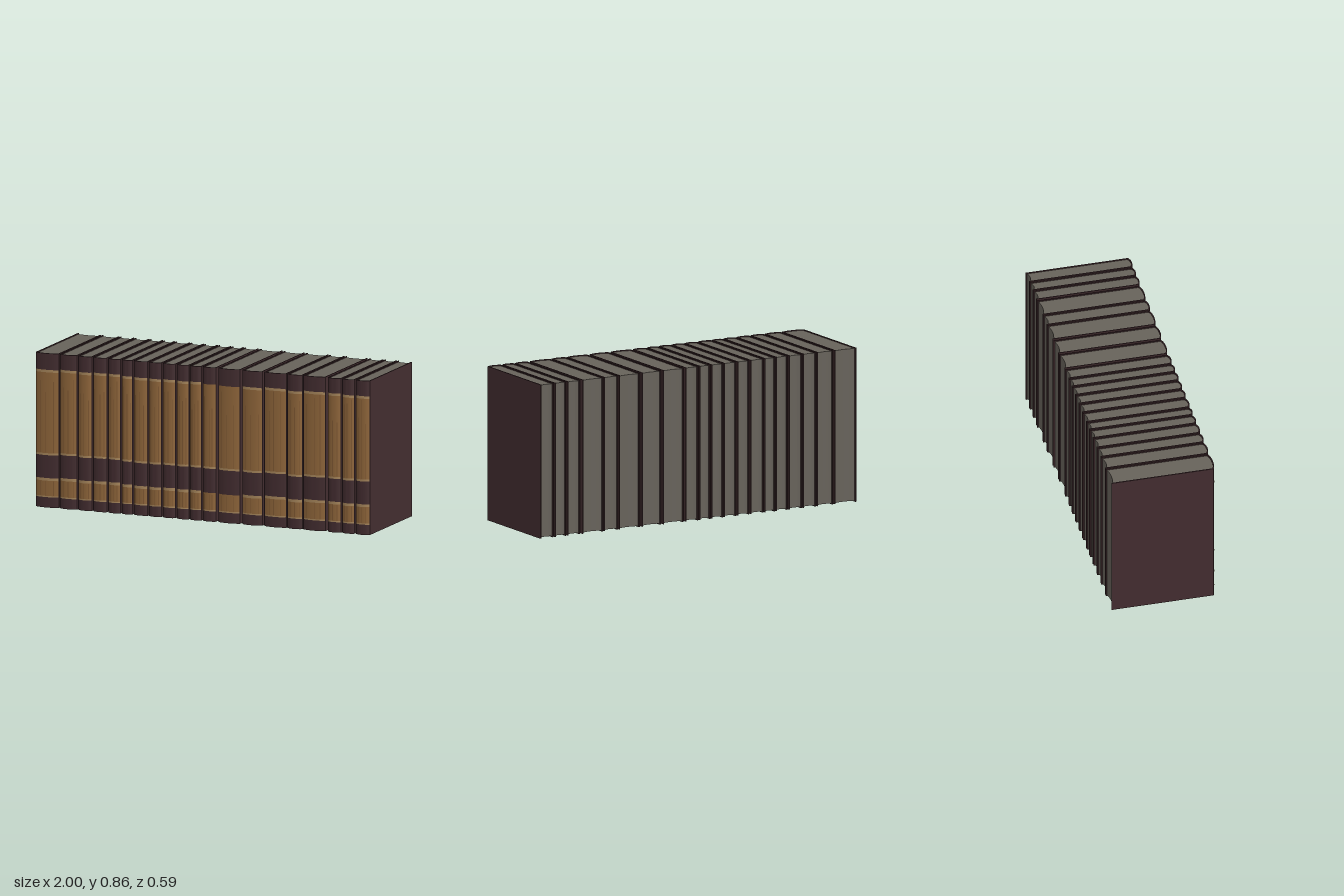
import * as THREE from 'three';
import { toCreasedNormals } from 'three/addons/utils/BufferGeometryUtils.js';

const HEIGHT = 0.862, BACK = -0.295, HINGE = 0.281, BULGE = 0.0125, BOARD = 0.006, INSET = 0.005;

// Middles of the gaps between neighbouring volumes, then each gap's width
const GAPS = [-0.858, -0.749, -0.66, -0.57, -0.489, -0.417, -0.326, -0.243, -0.16, -0.08,
  -0.004, 0.087, 0.23, 0.363, 0.504, 0.6, 0.741, 0.832, 0.912];
const WIDE = [0.087, 0.23, 0.363, 0.741];

const flat = (name, color) => {
  const m = new THREE.MeshStandardMaterial({ color });
  m.name = name;
  return m;
};

// Small seeded number source, 0..1
let seed = 7;
const rand = () => (seed = (seed * 16807) % 2147483647) / 2147483647;

// Rounded spine depth across the width, u from -1 to 1
const spineZ = (u) => HINGE + BULGE * (1 - Math.abs(u) ** 2.4);
const steps = (n) => Array.from({ length: n + 1 }, (_, i) => -1 + (2 * i) / n);

// Extrudes an outline of [x, z] points straight up
function upright(points, y0, y1) {
  const shape = new THREE.Shape(points.map(([x, z]) => new THREE.Vector2(x, -z)));
  const g = new THREE.ExtrudeGeometry(shape, { depth: y1 - y0, bevelEnabled: false });
  g.rotateX(-Math.PI / 2).translate(0, y0, 0);
  return toCreasedNormals(g, 0.45);
}

// Thin curved band lying on the spine
function band(half, y0, y1, lift, u0 = -0.96, u1 = 0.96) {
  const g = new THREE.PlaneGeometry(u1 - u0, y1 - y0, 14, 1);
  g.translate((u0 + u1) / 2, (y0 + y1) / 2, 0);
  const p = g.attributes.position;
  for (let i = 0; i < p.count; i++) {
    const u = p.getX(i);
    p.setXYZ(i, u * half, p.getY(i), spineZ(u) + lift);
  }
  g.computeVertexNormals();
  return g;
}

export function createModel() {
  const cover = flat('dark leather', 0x432d30);
  const tan = flat('tan label', 0x91673b);
  const pale = flat('pale trim', 0xa8875c);
  const streak = flat('worn streak', 0x7f5832);
  const paper = flat('grey paper', 0x67625a);

  const model = new THREE.Group();
  model.name = 'bookRow';

  const gapWidth = (x) => (WIDE.includes(x) ? 0.014 : 0.008);
  for (let i = 0; i <= GAPS.length; i++) {
    const left = i === 0 ? -1 : GAPS[i - 1] + gapWidth(GAPS[i - 1]) / 2;
    const right = i === GAPS.length ? 1 : GAPS[i] - gapWidth(GAPS[i]) / 2;
    const half = (right - left) / 2, inner = half - BOARD;

    const book = new THREE.Group();
    book.name = `book${i + 1}`;
    book.position.x = (left + right) / 2;
    model.add(book);
    const add = (name, geometry, material) => {
      const mesh = new THREE.Mesh(geometry, material);
      mesh.name = name;
      book.add(mesh);
    };

    // Cover: two boards joined by the rounded spine
    const outerArc = steps(16).map((u) => [u * half, spineZ(u)]);
    const innerArc = steps(16).map((u) => [u * inner, spineZ(u) - BOARD]);
    add('cover', upright([[-half, BACK], ...outerArc, [half, BACK], [inner, BACK],
      ...innerArc.slice().reverse(), [-inner, BACK]], 0, HEIGHT), cover);

    // Pages: rounded at the spine, hollowed along the open edge
    const hollow = steps(10).map((u) => [-u * inner, BACK + 0.007 + 0.009 * (1 - u * u)]);
    add('pages', upright([...innerArc, ...hollow], INSET, HEIGHT - INSET), paper);

    // Spine labels with slightly uneven edges
    const shift = (rand() - 0.5) * 0.008;
    const plain = i === 11 || i === 12;
    const low = [0.06, 0.162 + shift], high = [0.298 + shift, 0.768 + shift];
    add('lowerLabel', band(half, ...low, 0.0008), tan);
    add('upperLabel', band(half, ...high, 0.0008), tan);

    // Pale trim along the label edges
    add('trimBottom', band(half, 0.058, 0.065, 0.0012), pale);
    if (!plain) add('trimLower', band(half, low[1] - 0.008, low[1] + 0.007, 0.0012), pale);
    add('trimMiddle', band(half, high[0] - 0.001, high[0] + 0.01, 0.0012), pale);
    if (!plain) add('trimTop', band(half, high[1] - 0.008, high[1] + 0.006, 0.0012), pale);

    // Worn vertical streaks
    for (let k = 0; k < 3; k++) {
      const u = -0.8 + 0.6 * k + rand() * 0.3;
      const w = 0.004 / half;
      add('streakUpper', band(half, high[0] + 0.012, high[1] - 0.01 - rand() * 0.15, 0.001, u, u + w), streak);
      add('streakLower', band(half, 0.066, low[1] - 0.01, 0.001, u, u + w), streak);
    }
  }
  return model;
}
